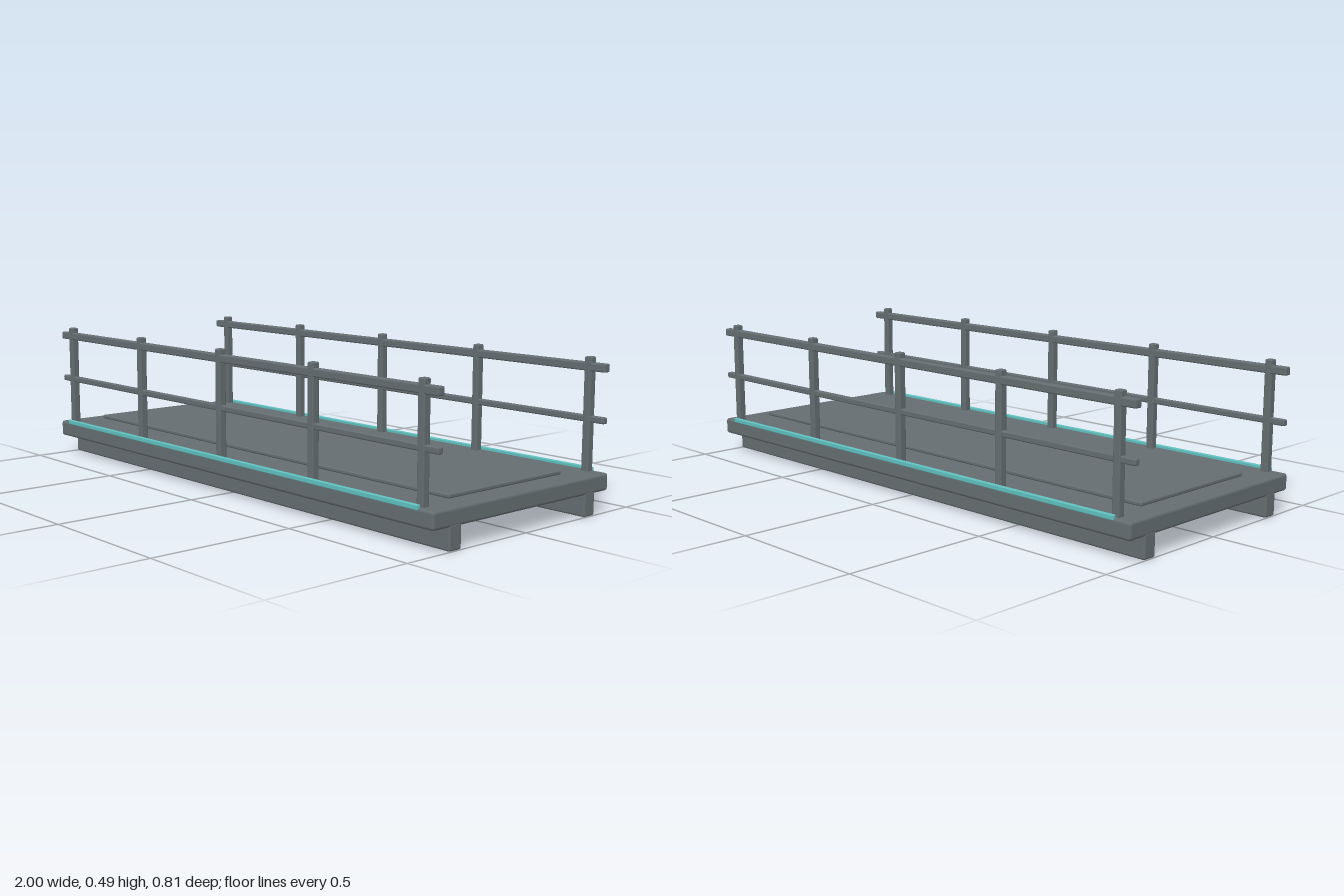
import * as THREE from 'three';
import { RoundedBoxGeometry } from 'three/addons/geometries/RoundedBoxGeometry.js';

export function createModel() {
  const bridge = new THREE.Group();
  bridge.name = 'walkwayBridge';

  const metal = new THREE.MeshStandardMaterial({ color: 0x646d70 });
  metal.name = 'greyMetal';
  const teal = new THREE.MeshStandardMaterial({ color: 0x5fc0be });
  teal.name = 'tealGlow';

  // Softly bevelled box given by its size and centre
  function block(parent, name, material, [w, h, d], [x, y, z], radius) {
    const mesh = new THREE.Mesh(new RoundedBoxGeometry(w, h, d, 2, radius), material);
    mesh.position.set(x, y, z);
    mesh.name = name;
    parent.add(mesh);
  }

  // Deck slab and raised walking panel
  block(bridge, 'deck', metal, [2, 0.057, 0.8], [0, 0.0985, 0], 0.01);
  block(bridge, 'walkPanel', metal, [1.85, 0.014, 0.514], [0, 0.136, 0], 0.005);

  for (const side of [1, -1]) {
    const name = side > 0 ? 'front' : 'back';

    // Support beam under the deck
    block(bridge, name + 'Beam', metal, [2, 0.08, 0.051], [0, 0.04, side * 0.307], 0.007);

    // Railing: five posts and two long rails
    const railing = new THREE.Group();
    railing.name = name + 'Railing';
    bridge.add(railing);
    const z = side * 0.374;
    for (let i = -2; i <= 2; i++) {
      block(railing, 'post', metal, [0.027, 0.375, 0.027], [i * 0.467, 0.306, z], 0.005);
    }
    block(railing, 'topRail', metal, [2, 0.027, 0.027], [0, 0.4615, z], 0.005);
    block(railing, 'midRail', metal, [2, 0.021, 0.021], [0, 0.2955, z], 0.005);

    // Light strip along the deck edge
    block(bridge, name + 'LightStrip', teal, [1.88, 0.016, 0.014], [0, 0.1285, side * 0.396], 0.003);
  }

  return bridge;
}
